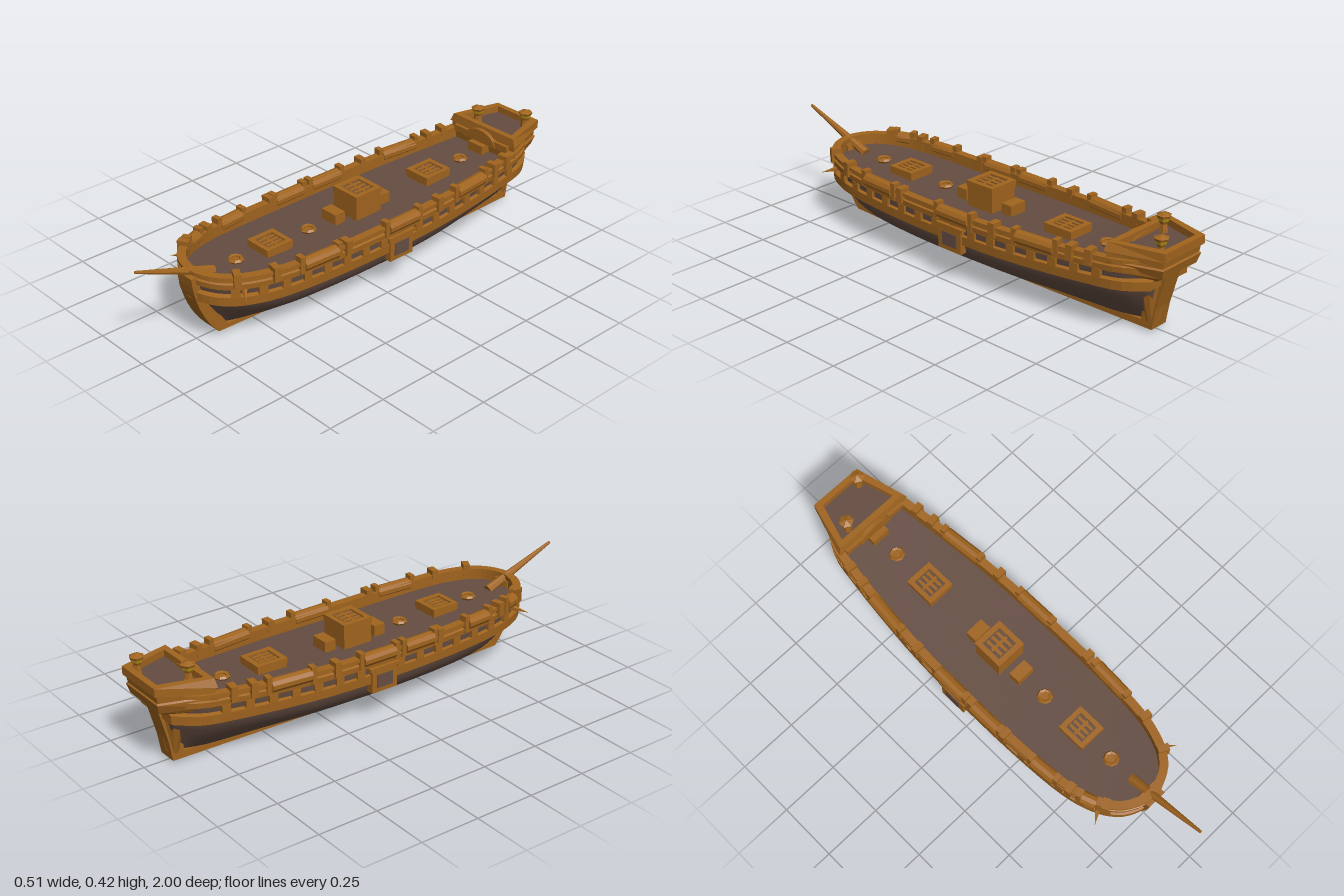
import * as THREE from 'three';

const mat = (name, color, flat = true) => {
  const m = new THREE.MeshStandardMaterial({ color, flatShading: flat, side: THREE.DoubleSide });
  m.name = name;
  return m;
};

export function createModel() {
  const ship = new THREE.Group();
  ship.name = 'sailingShipHull';
  const timber = mat('timber', 0xa0641e);
  const planks = mat('darkPlanks', 0x654d42, false);
  const glass = mat('lanternGlass', 0xc9a21c);

  const add = (name, geo, m, x = 0, y = 0, z = 0, parent = ship) => {
    const mesh = new THREE.Mesh(geo, m);
    mesh.name = name;
    mesh.position.set(x, y, z);
    parent.add(mesh);
    return mesh;
  };
  const box = (name, w, h, d, x, y, z, m = timber, parent = ship) =>
    add(name, new THREE.BoxGeometry(w, h, d), m, x, y, z, parent);

  // Surface through closed rings of equal point count
  const loft = (rings) => {
    const n = rings[0].length, index = [];
    for (let r = 0; r < rings.length - 1; r++) {
      for (let i = 0; i < n; i++) {
        const a = r * n + i, b = r * n + (i + 1) % n;
        index.push(a, a + n, b, b, a + n, b + n);
      }
    }
    const geo = new THREE.BufferGeometry();
    geo.setAttribute('position', new THREE.Float32BufferAttribute(rings.flat(2), 3));
    geo.setIndex(index);
    geo.computeVertexNormals();
    return geo;
  };

  // Deck outline: left stern, round the bow, right stern
  const half = [[0.1, -0.93], [0.16, -0.84], [0.185, -0.7], [0.208, -0.5], [0.224, -0.3], [0.23, 0],
    [0.225, 0.3], [0.21, 0.5], [0.187, 0.6], [0.15, 0.68], [0.095, 0.735]];
  const outline = [...half, [0, 0.765], ...half.slice().reverse().map(([x, z]) => [-x, z])];
  const curve = new THREE.CatmullRomCurve3(outline.map(([x, z]) => new THREE.Vector3(x, 0, z)));
  const N = 72;
  const path = [];
  for (let i = 0; i <= N; i++) {
    const p = curve.getPoint(i / N), t = curve.getTangent(i / N);
    path.push({ x: p.x, z: p.z, nx: t.z, nz: -t.x });
  }
  const sheer = (z) => 0.022 * (z / 0.75) ** 2;
  const sweep = (profile) => loft(profile.map(([out, y]) =>
    path.map((p) => [p.x + p.nx * out, y + sheer(p.z), p.z + p.nz * out])));

  // Point and heading on the rail at a given z
  const railAt = (z, side) => {
    const i = Math.max(1, path.findIndex((p) => p.z > z));
    const a = path[i - 1], b = path[i], f = (z - a.z) / (b.z - a.z);
    return { x: side * (a.x + (b.x - a.x) * f), y: sheer(z), angle: side * Math.atan2(b.x - a.x, b.z - a.z) };
  };

  // Rounded hull below the belt, finer towards the ends
  const levels = [[0.008, 0.1], [0.015, 0.19], [0.03, 0.35], [0.05, 0.53], [0.075, 0.7], [0.1, 0.83],
    [0.13, 0.93], [0.17, 0.99], [0.25, 1]];
  add('hull', loft(levels.map(([y, s]) => {
    const low = Math.max(0, 1 - y / 0.2);
    return path.map((p) => [
      0.23 * s * Math.sign(p.x) * Math.pow(Math.abs(p.x) / 0.23, 1 + 1.5 * low),
      y + sheer(p.z) * Math.min(1, y / 0.18),
      p.z * (1 - (p.z > 0 ? 0.13 : 0.06) * low)]);
  })), planks);

  // Belt, bulwark and deck
  add('belt', sweep([[-0.01, 0.165], [0.009, 0.17], [0.011, 0.207], [-0.01, 0.212]]), timber);
  add('bulwark', sweep([[-0.005, 0.236], [0.01, 0.24], [0.012, 0.262], [0.004, 0.266], [0.004, 0.275],
    [0.012, 0.278], [0.012, 0.291], [-0.022, 0.291], [-0.022, 0.24]]), timber);
  const deckY = 0.245;
  add('deck', loft([1, 0.5, 0].map((s) =>
    path.map((p) => [(p.x - p.nx * 0.015) * s, deckY + sheer(p.z), p.z - p.nz * 0.015]))), planks);

  // Keel with stem and stern post
  const side = new THREE.Shape();
  side.moveTo(0.79, 0.292);
  side.quadraticCurveTo(0.775, 0.13, 0.675, 0.018);
  side.lineTo(0.3, 0.006);
  side.lineTo(0, 0);
  side.lineTo(-0.9, 0.012);
  side.lineTo(-0.915, 0.1);
  side.lineTo(-0.955, 0.25);
  side.lineTo(-0.88, 0.25);
  side.lineTo(-0.85, 0.04);
  side.lineTo(0, 0.025);
  side.lineTo(0.63, 0.035);
  side.quadraticCurveTo(0.7, 0.13, 0.73, 0.292);
  const keel = new THREE.ExtrudeGeometry(side, { depth: 0.084, bevelEnabled: false, curveSegments: 8 });
  keel.translate(0, 0, -0.042).rotateY(-Math.PI / 2);
  add('keel', keel, timber);
  const counter = new THREE.CylinderGeometry(0.11, 0.045, 0.22, 12);
  add('sternCounter', counter, timber, 0, 0.15, -0.885).scale.z = 0.5;

  // Bowsprit
  const from = new THREE.Vector3(0, 0.262, 0.66), to = new THREE.Vector3(0, 0.392, 1);
  const sprit = add('bowsprit', new THREE.CylinderGeometry(0.006, 0.021, from.distanceTo(to), 8), timber);
  sprit.position.copy(from).lerp(to, 0.5);
  sprit.quaternion.setFromUnitVectors(new THREE.Vector3(0, 1, 0), to.clone().sub(from).normalize());

  // Fittings along both rails
  const rolls = { 1: [[-0.57, -0.4], [-0.17, -0.01], [0.25, 0.41]],
    '-1': [[-0.57, -0.4], [-0.17, -0.02], [0.03, 0.17], [0.35, 0.46], [0.58, 0.64]] };
  for (const s of [1, -1]) {
    for (const [a, b] of rolls[s]) {
      const r = railAt((a + b) / 2, s);
      const roll = new THREE.CylinderGeometry(0.027, 0.027, b - a, 10).rotateX(Math.PI / 2);
      add('railRoll', roll, timber, r.x, 0.277 + r.y, (a + b) / 2).rotation.y = r.angle;
      for (const z of [a - 0.008, b + 0.008]) {
        const q = railAt(z, s);
        box('rollPost', 0.034, 0.07, 0.022, q.x, 0.28 + q.y, z).rotation.y = q.angle;
      }
    }
    for (const z of [-0.72, -0.64, -0.29, 0.2, 0.53, 0.67]) {
      const r = railAt(z, s);
      box('railPost', 0.045, 0.06, 0.028, r.x, 0.28 + r.y, z).rotation.y = r.angle;
    }
    // Blocks between belt and bulwark
    for (let z = -0.75; z < 0.68; z += 0.095) {
      const r = railAt(z, s);
      box('sideBlock', 0.022, 0.035, 0.035, r.x, 0.222 + r.y, z).rotation.y = r.angle;
    }
    // Boarding box, bow spike
    box('boardingBox', 0.03, 0.1, 0.12, s * 0.232, 0.182, -0.075);
    box('boardingRecess', 0.006, 0.055, 0.075, s * 0.247, 0.178, -0.075, planks);
    box('boardingSill', 0.04, 0.012, 0.14, s * 0.232, 0.232, -0.075);
    const spike = add('bowSpike', new THREE.ConeGeometry(0.016, 0.09, 5), timber, s * 0.19, 0.243, 0.66);
    spike.rotation.set(0, -s * 0.6, -s * 1.75);
  }

  // Grated hatches: frame, dark opening and bars
  const hatch = (z, w, d, h) => {
    const g = new THREE.Group();
    g.name = 'hatch';
    g.position.set(0.003, deckY, z);
    ship.add(g);
    box('hatchBase', w * 0.96, h - 0.012, d * 0.96, 0, (h - 0.012) / 2, 0, timber, g);
    box('hatchOpening', w * 0.7, 0.006, d * 0.7, 0, h - 0.01, 0, planks, g);
    for (const s of [-1, 1]) {
      box('hatchFrame', w * 0.16, 0.024, d, s * w * 0.42, h - 0.012, 0, timber, g);
      box('hatchFrame', w, 0.024, d * 0.16, 0, h - 0.012, s * d * 0.42, timber, g);
    }
    for (const i of [-1, 0, 1]) box('gratingBar', w * 0.1, 0.012, d * 0.6, i * w * 0.19, h - 0.008, 0, timber, g);
    box('gratingBar', w * 0.6, 0.01, d * 0.09, 0, h - 0.008, 0, timber, g);
  };
  hatch(0.385, 0.12, 0.125, 0.04);
  hatch(-0.065, 0.135, 0.135, 0.105);
  hatch(-0.46, 0.12, 0.135, 0.045);
  for (const [z, h] of [[-0.18, 0.045], [0.06, 0.045], [-0.765, 0.06]]) {
    box('deckStep', 0.08, h, 0.05, 0, deckY + h / 2, z);
  }

  // Mast collars
  for (const z of [0.55, 0.19, -0.65]) {
    const y = deckY + sheer(z);
    add('mastCollar', new THREE.TorusGeometry(0.024, 0.009, 5, 8).rotateX(Math.PI / 2), timber, 0, y + 0.008, z);
    add('mastSocket', new THREE.CylinderGeometry(0.02, 0.02, 0.016, 8), timber, 0, y, z);
  }

  // Raised stern gallery, tapering aft
  const ring = (y, front, back, zf, zb) => [[front, y, zf], [back, y, zb], [-back, y, zb], [-front, y, zf]];
  add('sternGallery', loft([
    ring(0.235, 0, 0, -0.88, -0.88), ring(0.235, 0.155, 0.08, -0.8, -0.94),
    ring(0.262, 0.178, 0.1, -0.785, -0.98), ring(0.3, 0.184, 0.112, -0.78, -0.99),
    ring(0.305, 0.176, 0.106, -0.785, -0.985), ring(0.335, 0.176, 0.108, -0.785, -0.99),
    ring(0.338, 0.184, 0.115, -0.78, -1), ring(0.372, 0.17, 0.115, -0.785, -1),
    ring(0.372, 0.138, 0.09, -0.81, -0.975), ring(0.33, 0.138, 0.09, -0.81, -0.975)]), timber);
  add('galleryDeck', loft([ring(0.345, 0.142, 0.094, -0.808, -0.978), ring(0.345, 0, 0, -0.88, -0.88)]), planks);
  const arch = new THREE.CylinderGeometry(0.085, 0.085, 0.05, 12, 1, false, -Math.PI / 2, Math.PI);
  arch.rotateX(-Math.PI / 2);
  add('galleryArch', arch, timber, 0, 0.305, -0.79).scale.y = 0.65;
  box('galleryBeam', 0.3, 0.025, 0.03, 0, 0.32, -0.785);

  // Stern lanterns with flared glazed heads
  for (const [x, z] of [[-0.082, -0.84], [0.082, -0.955]]) {
    const g = new THREE.Group();
    g.name = 'lantern';
    g.position.set(x, 0.34, z);
    ship.add(g);
    add('lanternFoot', new THREE.CylinderGeometry(0.014, 0.02, 0.04, 6), timber, 0, 0.02, 0, g);
    add('lanternHead', new THREE.CylinderGeometry(0.03, 0.014, 0.035, 6), timber, 0, 0.055, 0, g);
    add('lanternGlass', new THREE.CylinderGeometry(0.0262, 0.0195, 0.014, 6, 1, true), glass, 0, 0.056, 0, g);
    add('lanternCap', new THREE.ConeGeometry(0.03, 0.011, 6), timber, 0, 0.078, 0, g);
  }
  return ship;
}
